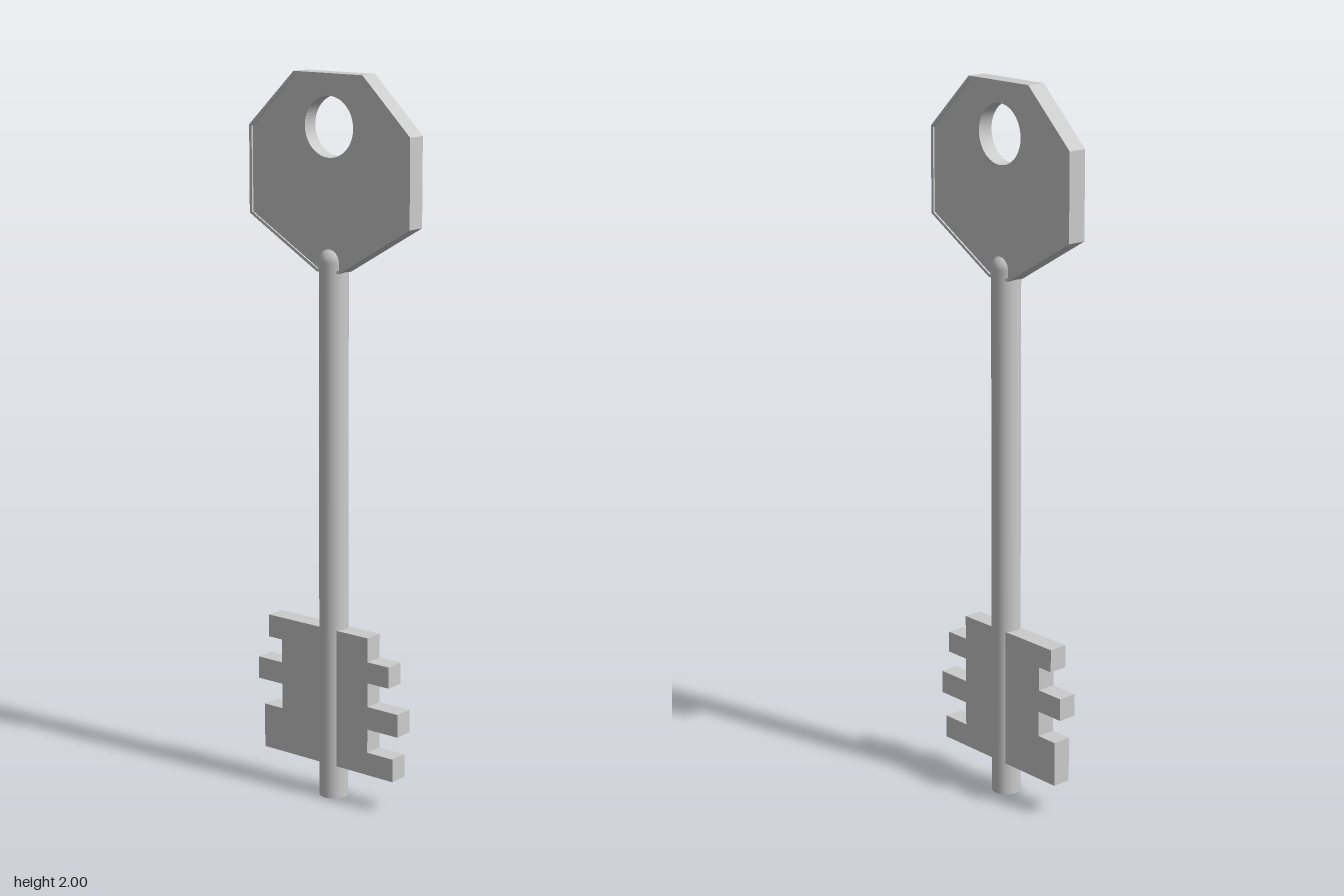
import * as THREE from 'three';

const THICK = 0.054;   // plate thickness
const Z = -0.002;      // middle of the plates
const RADIUS = 0.04;   // shaft radius

const material = new THREE.MeshStandardMaterial({ color: 0xcccccc });

const toPoints = (list) => list.map(([x, y]) => new THREE.Vector2(x, y));

function addPlate(group, name, shape, depth) {
  const geometry = new THREE.ExtrudeGeometry(shape, { depth, bevelEnabled: false, curveSegments: 32 });
  geometry.translate(0, 0, Z - depth / 2);
  const mesh = new THREE.Mesh(geometry, material);
  mesh.name = name;
  group.add(mesh);
}

export function createModel() {
  const key = new THREE.Group();
  key.name = 'key';

  // Grip: thin raised rim around a slightly recessed panel with a round hole
  const half = [[0.037, 1.475], [0.27, 1.612], [0.27, 1.85], [0.115, 2]];
  const outline = [...half, ...half.map(([x, y]) => [-x, y]).reverse()];
  const inset = outline.map(([x, y]) => [x * 0.968, 1.74 + (y - 1.74) * 0.968]);

  const rim = new THREE.Shape(toPoints(outline));
  rim.holes.push(new THREE.Path(toPoints(inset)));
  addPlate(key, 'gripRim', rim, THICK);

  const panel = new THREE.Shape(toPoints(inset));
  panel.holes.push(new THREE.Path().absarc(0, 1.86, 0.081, 0, Math.PI * 2, true));
  addPlate(key, 'gripPanel', panel, THICK - 0.01);

  // Shaft: round rod with a domed top
  const rod = new THREE.Mesh(new THREE.CylinderGeometry(RADIUS, RADIUS, 1.503, 40), material);
  rod.position.set(0, 1.503 / 2, -0.001);
  rod.name = 'shaft';
  key.add(rod);
  const dome = new THREE.Mesh(
    new THREE.SphereGeometry(RADIUS, 40, 12, 0, Math.PI * 2, 0, Math.PI / 2), material);
  dome.position.set(0, 1.503, -0.001);
  dome.name = 'shaftDome';
  key.add(dome);

  // Bit: one plate through the shaft, with different teeth on each side
  const bit = new THREE.Shape(toPoints([
    [-0.228, 0.095], [0.225, 0.095], [0.225, 0.16], [0.138, 0.16],
    [0.138, 0.227], [0.241, 0.227], [0.241, 0.292], [0.138, 0.292],
    [0.138, 0.36], [0.21, 0.36], [0.21, 0.42], [0.138, 0.42], [0.138, 0.488],
    [-0.211, 0.488], [-0.211, 0.424], [-0.164, 0.424],
    [-0.164, 0.357], [-0.249, 0.357], [-0.249, 0.294], [-0.164, 0.294],
    [-0.164, 0.222], [-0.228, 0.222],
  ]));
  addPlate(key, 'bit', bit, THICK);

  return key;
}
